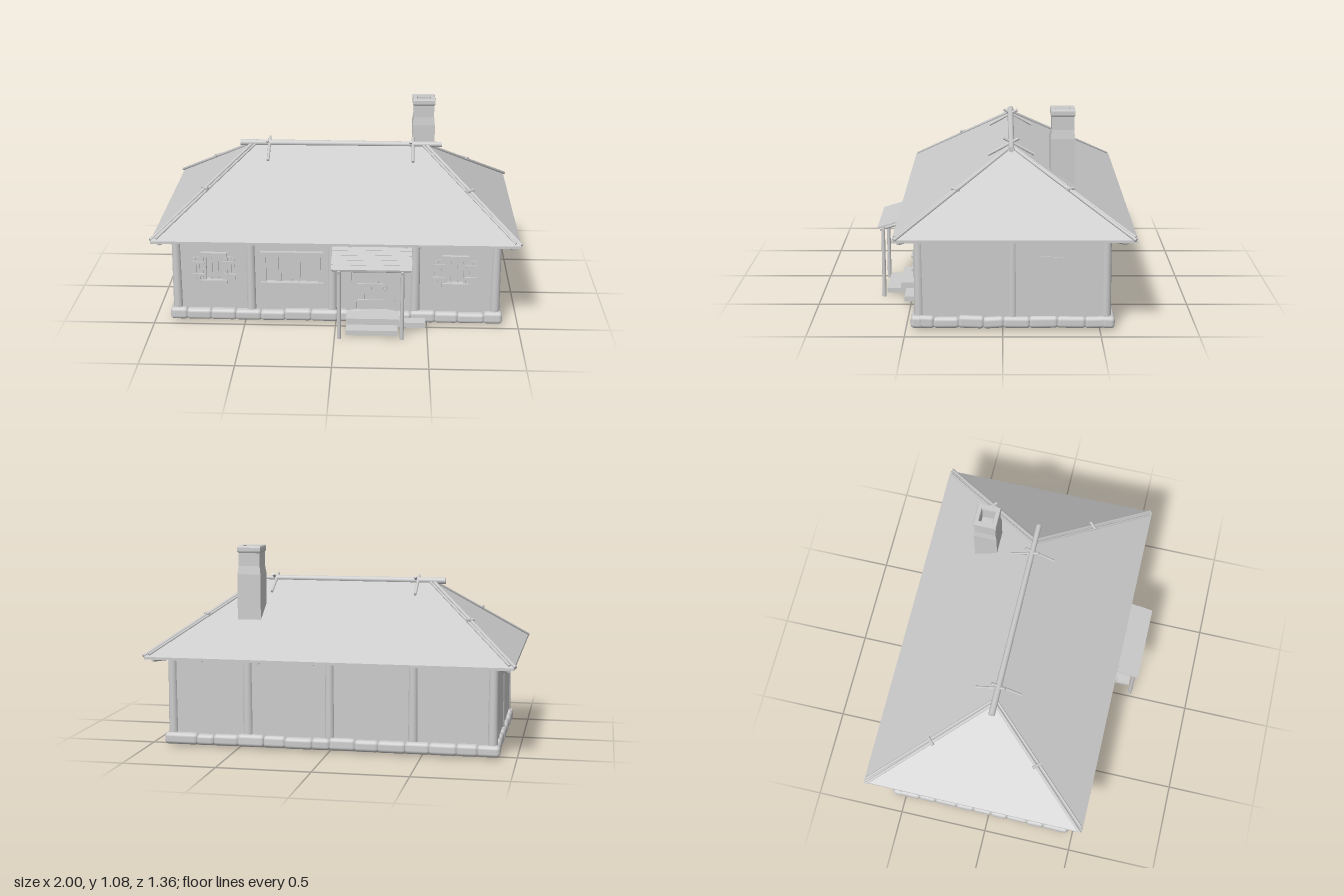
import * as THREE from 'three';
import { RoundedBoxGeometry } from 'three/addons/geometries/RoundedBoxGeometry.js';

export function createModel() {
  const root = new THREE.Group();
  root.name = 'cottage';
  const grey = new THREE.MeshStandardMaterial({ color: 0xcccccc, side: THREE.DoubleSide });
  grey.name = 'plainGrey';

  let seed = 7;
  const rand = () => (seed = (seed * 16807) % 2147483647) / 2147483647;
  const V = (x, y, z) => new THREE.Vector3(x, y, z);
  const group = (name, parent = root) => {
    const g = new THREE.Group();
    g.name = name;
    parent.add(g);
    return g;
  };
  const add = (name, geo, parent = root) => {
    const m = new THREE.Mesh(geo, grey);
    m.name = name;
    parent.add(m);
    return m;
  };
  // box given by its limits on each axis
  const box = (name, x0, x1, y0, y1, z0, z1, parent) => {
    const m = add(name, new THREE.BoxGeometry(x1 - x0, y1 - y0, z1 - z0), parent);
    m.position.set((x0 + x1) / 2, (y0 + y1) / 2, (z0 + z1) / 2);
    return m;
  };
  // round pole from a to b
  const pole = (name, a, b, r0, r1 = r0, parent = root, sides = 12) => {
    const d = b.clone().sub(a);
    const m = add(name, new THREE.CylinderGeometry(r1, r0, d.length(), sides), parent);
    m.position.copy(a).addScaledVector(d, 0.5);
    m.quaternion.setFromUnitVectors(V(0, 1, 0), d.normalize());
    return m;
  };

  const WX = 0.885, ZF = 0.44, ZB = -0.54, TOP = 0.52;

  // walls, the front one with openings
  const walls = group('walls');
  const shape = new THREE.Shape([[-WX, 0.03], [WX, 0.03], [WX, TOP], [-WX, TOP]].map(p => new THREE.Vector2(...p)));
  const opening = (x0, x1, y0, y1) => shape.holes.push(
    new THREE.Path([[x0, y0], [x0, y1], [x1, y1], [x1, y0]].map(p => new THREE.Vector2(...p))));
  opening(-0.385, -0.095, 0.235, 0.395);
  opening(-0.715, -0.615, 0.245, 0.385);
  opening(0.6, 0.7, 0.245, 0.385);
  opening(0.075, 0.33, 0.07, 0.385);
  const front = add('frontWall', new THREE.ExtrudeGeometry(shape, { depth: 0.012, bevelEnabled: false }), walls);
  front.position.z = ZF - 0.012;
  box('backWall', -WX, WX, 0.03, TOP, ZB, ZB + 0.012, walls);
  for (const s of [-1, 1]) box('sideWall', s * WX - 0.006, s * WX + 0.006, 0.03, TOP, ZB, ZF, walls);

  // upright logs in the walls
  const posts = group('wallPosts');
  const post = (x, z) => pole('wallPost', V(x, 0.05, z), V(x, 0.51, z), 0.027, 0.024, posts, 16);
  for (const x of [-0.872, -0.465, -0.02, 0.435, 0.872]) post(x, 0.43);
  for (const x of [-0.872, -0.45, 0, 0.45, 0.872]) post(x, -0.53);
  for (const s of [-1, 1]) post(s * 0.872, -0.05);

  // rounded stones around the base
  const base = group('foundation');
  const stones = (from, to, place) => {
    let t = from;
    while (t < to - 0.01) {
      let len = 0.09 + rand() * 0.06;
      if (to - t - len < 0.06) len = to - t;
      const h = 0.058 + rand() * 0.01, w = 0.058 + rand() * 0.01;
      const m = add('stone', new RoundedBoxGeometry(len + 0.008, h, w, 3, 0.02), base);
      place(m, t + len / 2);
      m.position.y = 0.01 + h / 2;
      m.rotation.x = (rand() - 0.5) * 0.12;
      t += len;
    }
  };
  for (const z of [0.442, -0.544]) stones(-0.91, 0.91, (m, t) => m.position.set(t, 0, z));
  for (const x of [-0.88, 0.88]) stones(-0.56, 0.46, (m, t) => { m.position.set(x, 0, t); m.rotation.y = Math.PI / 2; });

  // hipped roof shell: outer skin, inner skin and eave edge
  const RZ = -0.045;
  const corners = [V(-0.99, 0.5, 0.557), V(0.99, 0.5, 0.557), V(0.985, 0.5, -0.678), V(-0.985, 0.5, -0.678)];
  const ridge = [V(-0.49, 0.872, RZ), V(0.49, 0.872, RZ)];
  const pos = [];
  const tri = (...p) => p.forEach(v => pos.push(v.x, v.y, v.z));
  const skin = (dy, flip) => {
    const [a, b, c, d] = corners.map(v => V(v.x, v.y + dy, v.z));
    const [l, r] = ridge.map(v => V(v.x, v.y + dy, v.z));
    for (const t of [[a, b, r], [a, r, l], [b, c, r], [c, d, l], [c, l, r], [d, a, l]]) tri(...(flip ? t.reverse() : t));
  };
  skin(0.006, false);
  skin(-0.008, true);
  corners.forEach((p, i) => {
    const q = corners[(i + 1) % 4], up = v => V(v.x, v.y + 0.006, v.z), dn = v => V(v.x, v.y - 0.008, v.z);
    tri(dn(p), dn(q), up(q));
    tri(dn(p), up(q), up(p));
  });
  const roofGeo = new THREE.BufferGeometry();
  roofGeo.setAttribute('position', new THREE.Float32BufferAttribute(pos, 3));
  roofGeo.computeVertexNormals();
  add('roof', roofGeo);

  // ridge log with crossed sticks
  const trim = group('roofPoles');
  pole('ridgeLog', V(-0.56, 0.88, RZ), V(0.58, 0.88, RZ), 0.018, 0.015, trim);
  for (const x of [-0.4, 0.41]) for (const s of [-1, 1])
    pole('crossStick', V(x + s * 0.006, 0.905, RZ - s * 0.04), V(x + s * 0.006, 0.815, RZ + s * 0.125), 0.008, 0.008, trim, 8);

  // pairs of poles down each hip, with a short tie stick
  corners.forEach((c, i) => {
    const r = ridge[i === 1 || i === 2 ? 1 : 0], sx = Math.sign(c.x), sz = Math.sign(c.z);
    const low = V(sx * 0.992, 0.508, c.z - sz * 0.012);
    pole('hipPole', V(r.x, 0.878, r.z), low, 0.01, 0.009, trim, 8);
    pole('hipPole', V(r.x - sx * 0.02, 0.878, r.z + sz * 0.005), V(low.x - sx * 0.03, low.y + 0.008, low.z), 0.007, 0.007, trim, 8);
    const k = r.clone().lerp(c, 0.48);
    pole('tieStick', V(k.x - sx * 0.018, k.y + 0.012, k.z + sz * 0.018), V(k.x + sx * 0.018, k.y + 0.012, k.z - sz * 0.018), 0.009, 0.009, trim, 8);
  });

  // log ends under the eaves
  const eaves = group('eaveLogs');
  for (const x of [-0.69, -0.39, -0.08, 0.08, 0.38, 0.69]) {
    pole('eaveLog', V(x, 0.488, 0.4), V(x, 0.488, 0.525), 0.015, 0.015, eaves);
    pole('eaveLog', V(x, 0.488, -0.5), V(x, 0.488, -0.625), 0.015, 0.015, eaves);
  }
  for (const s of [-1, 1]) {
    for (const z of [0.28, 0.06, -0.19]) pole('eaveLog', V(s * 0.85, 0.488, z), V(s * 0.955, 0.488, z), 0.015, 0.015, eaves);
    for (const [z0, z1] of [[0.42, 0.53], [-0.52, -0.625]])
      pole('cornerLog', V(s * 0.86, 0.488, z0), V(s * 0.955, 0.488, z1), 0.016, 0.016, eaves);
  }

  // hollow square chimney from a four-sided profile
  const R = Math.SQRT1_2;
  const prof = [[0.13, 0.64], [0.13, 0.93], [0.118, 0.975], [0.118, 1.045], [0.13, 1.055], [0.13, 1.075], [0.124, 1.083],
    [0.08, 1.083], [0.074, 1.07], [0.074, 0.98], [0, 0.98]].map(([w, y]) => new THREE.Vector2(w * R, y));
  const chimneyGeo = new THREE.LatheGeometry(prof, 4, Math.PI / 4).toNonIndexed();
  chimneyGeo.computeVertexNormals();
  add('chimney', chimneyGeo).position.set(0.48, 0, -0.315);

  // windows: frame, bars and pane
  const windowAt = (name, x0, x1, y0, y1, bars) => {
    const g = group(name);
    box('pane', x0, x1, y0, y1, 0.425, 0.429, g);
    for (const x of [x0, x1]) box('jamb', x - 0.008, x + 0.008, y0, y1, 0.418, 0.45, g);
    box('lintel', x0 - 0.02, x1 + 0.02, y1, y1 + 0.026, 0.415, 0.462, g);
    box('sill', x0 - 0.02, x1 + 0.02, y0 - 0.022, y0, 0.415, 0.465, g);
    for (const x of bars) box('bar', x - 0.005, x + 0.005, y0, y1, 0.42, 0.442, g);
    return g;
  };
  windowAt('wideWindow', -0.39, -0.09, 0.236, 0.388, [-0.32, -0.305, -0.245, -0.2, -0.155]);
  for (const c of [-0.665, 0.65]) {
    const g = windowAt('smallWindow', c - 0.052, c + 0.052, 0.244, 0.378, [c - 0.018, c + 0.018]);
    for (const s of [-1, 1]) {
      const sh = group('shutter', g), m = c + s * 0.086;
      for (const d of [-0.02, 0, 0.02]) box('slat', m + d - 0.0085, m + d + 0.0085, 0.25, 0.385 - Math.abs(d) * 0.3, 0.455, 0.465, sh);
      for (const y of [0.28, 0.352]) box('batten', m - 0.034, m + 0.034, y - 0.007, y + 0.007, 0.463, 0.474, sh);
    }
  }

  // plank door with frame, straps and ring
  const door = group('door');
  for (const x of [0.07, 0.335]) box('doorJamb', x - 0.014, x + 0.014, 0.05, 0.39, 0.415, 0.455, door);
  box('doorLintel', 0.05, 0.355, 0.38, 0.405, 0.412, 0.46, door);
  box('doorBacking', 0.08, 0.325, 0.05, 0.385, 0.425, 0.431, door);
  for (const x of [0.1, 0.305]) box('sidePlank', x - 0.015, x + 0.015, 0.07, 0.38, 0.43, 0.442, door);
  for (let i = 0; i < 4; i++) box('doorPlank', 0.122 + i * 0.038, 0.156 + i * 0.038, 0.08, 0.375, 0.43, 0.445, door);
  for (const y of [0.13, 0.225, 0.315]) box('strap', 0.12, 0.26, y - 0.008, y + 0.008, 0.444, 0.455, door);
  add('doorRing', new THREE.TorusGeometry(0.011, 0.003, 8, 16), door).position.set(0.268, 0.21, 0.453);

  // stone steps
  const steps = group('steps');
  box('topStep', 0.06, 0.35, 0.04, 0.075, 0.43, 0.565, steps);
  box('lowStep', 0.06, 0.34, 0.012, 0.04, 0.45, 0.64, steps);
  box('sideSlab', 0.2, 0.49, 0.012, 0.042, 0.44, 0.535, steps);

  // porch: posts, beams and a lean-to plank roof
  const porch = group('porch');
  for (const x of [0.025, 0.362]) {
    pole('porchPost', V(x, 0, 0.655), V(x, 0.4, 0.655), 0.011, 0.01, porch);
    pole('porchRafter', V(x, 0.386, 0.672), V(x, 0.455, 0.44), 0.009, 0.009, porch, 8);
  }
  pole('porchBeam', V(-0.01, 0.394, 0.652), V(0.405, 0.394, 0.652), 0.009, 0.009, porch, 8);
  const tilt = Math.atan2(0.072, 0.23);
  for (let i = 0; i < 6; i++) {
    const p = add('porchPlank', new THREE.BoxGeometry(0.432 - rand() * 0.008, 0.008, 0.046), porch);
    p.position.set(0.197, 0.412 + i * 0.0122, 0.658 - i * 0.039);
    p.rotation.x = tilt - 0.04;
  }

  // loose sliver of wood on the side wall
  const sliver = box('wallSliver', 0.888, 0.897, 0.38, 0.392, -0.31, -0.18);
  sliver.rotation.x = -0.08;
  return root;
}
